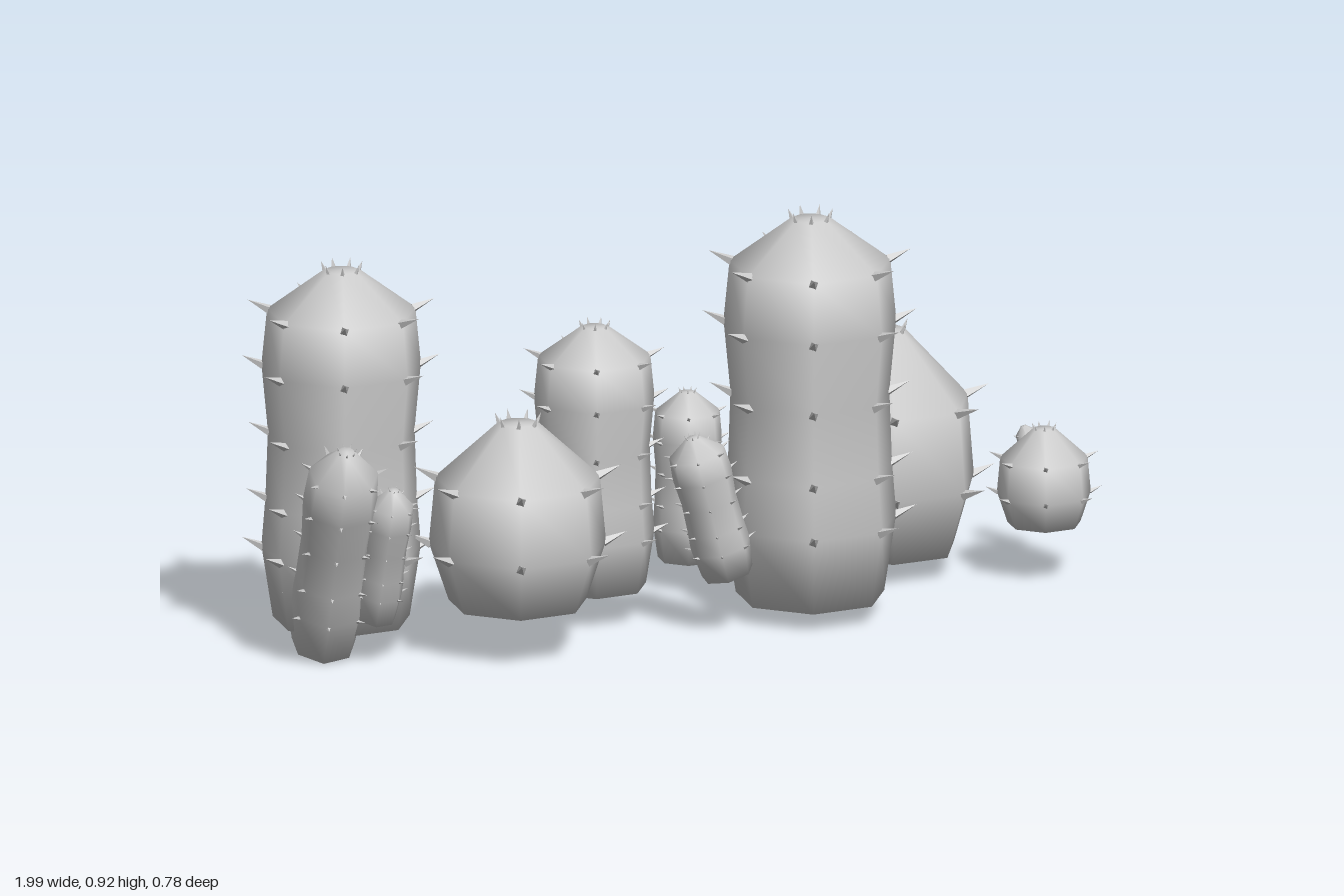
import * as THREE from 'three';
import { mergeGeometries } from 'three/addons/utils/BufferGeometryUtils.js';

const SIDES = 7;
const UP = new THREE.Vector3(0, 1, 0);

// Profiles: [height fraction, radius fraction], from base rim to crown rim
const COLUMN = [[0, 0.86], [0.2, 1], [0.34, 0.95], [0.53, 0.92], [0.72, 1], [0.88, 0.93], [1, 0.22]];
const BALL = [[0, 0.78], [0.31, 1], [0.68, 0.93], [1, 0.22]];

// Closed seven-sided body
function bodyGeometry(profile, r, h) {
  const pts = profile.map(([t, k]) => new THREE.Vector2(k * r, t * h));
  return new THREE.LatheGeometry([new THREE.Vector2(0, 0), ...pts, new THREE.Vector2(0, h)], SIDES);
}

// One thorn at every corner of every ring above the base, short upright ones on the crown
function spineGeometry(profile, r, h) {
  const cones = [];
  for (const [t, k] of profile.slice(1)) {
    const crown = t === 1;
    const len = r * (crown ? 0.12 : 0.29);
    for (let i = 0; i < SIDES; i++) {
      const a = (i / SIDES) * Math.PI * 2;
      const out = new THREE.Vector3(Math.sin(a), 0, Math.cos(a));
      const dir = out.clone().setY(crown ? 2.5 : 0.4).normalize();
      const cone = new THREE.ConeGeometry(r * (crown ? 0.03 : 0.06), len, 4);
      cone.translate(0, len * 0.4, 0);
      cone.applyQuaternion(new THREE.Quaternion().setFromUnitVectors(UP, dir));
      cone.translate(out.x * k * r, t * h, out.z * k * r);
      cones.push(cone);
    }
  }
  return mergeGeometries(cones);
}

// A cactus standing on the point base, its axis running to the point top
function makeCactus({ name, profile, r, base, top, depth = 1 }) {
  const from = new THREE.Vector3(...base);
  const axis = new THREE.Vector3(...top).sub(from);
  const h = axis.length();
  const body = new THREE.Mesh(bodyGeometry(profile, r, h),
    new THREE.MeshStandardMaterial({ color: 0xcccccc }));
  body.name = name + 'Body';
  const spines = new THREE.Mesh(spineGeometry(profile, r, h),
    new THREE.MeshStandardMaterial({ color: 0xcccccc, flatShading: true }));
  spines.name = name + 'Spines';

  // Turn a corner of the heptagon to the back, then lean the whole plant
  const turned = new THREE.Group();
  turned.name = name + 'Turn';
  turned.rotation.y = Math.PI - 0.06;
  turned.add(body, spines);
  const cactus = new THREE.Group();
  cactus.name = name;
  cactus.position.copy(from);
  cactus.quaternion.setFromUnitVectors(UP, axis.normalize());
  cactus.scale.z = depth;
  cactus.add(turned);
  return cactus;
}

// Upright plants: name, profile, radius, x, z, bottom, top, depth scale
const UPRIGHT = [
  ['tallColumnRight', COLUMN, 0.18, -0.755, -0.115, 0.07, 0.865],
  ['tallColumnLeft', COLUMN, 0.195, 0.278, 0.17, 0.047, 0.905],
  ['middleColumn', COLUMN, 0.136, -0.15, -0.04, 0.08, 0.67],
  ['thinColumn', COLUMN, 0.078, 0.165, -0.165, 0.07, 0.45],
  ['bigBallRight', BALL, 0.2, -0.447, 0.125, 0.12, 0.53],
  ['bigBallLeft', BALL, 0.198, 0.625, -0.09, 0.055, 0.547, 1.2],
  ['smallBallRight', BALL, 0.1, -0.335, -0.17, 0.13, 0.345],
  ['smallBallLeft', BALL, 0.106, 0.873, 0.18, 0.13, 0.347],
];

// Leaning shoots: name, radius, base point, top point
const LEANING = [
  ['largeShoot', 0.084, [-0.83, 0.036, -0.07], [-0.9, 0.53, 0.145]],
  ['slimShoot', 0.052, [-0.755, 0.11, 0.03], [-0.775, 0.425, 0.14]],
  ['middleShoot', 0.068, [0.04, 0.14, 0.21], [-0.05, 0.46, 0.21]],
  ['tinyShootLeft', 0.026, [0.963, 0.17, 0.037], [0.925, 0.305, 0.005]],
  ['tinyShootRight', 0.026, [-0.53, 0.17, -0.262], [-0.572, 0.305, -0.293]],
];

export function createModel() {
  const model = new THREE.Group();
  model.name = 'cactusCluster';
  for (const [name, profile, r, x, z, y0, y1, depth] of UPRIGHT) {
    model.add(makeCactus({ name, profile, r, base: [x, y0, z], top: [x, y1, z], depth }));
  }
  for (const [name, r, base, top] of LEANING) {
    model.add(makeCactus({ name, profile: COLUMN, r, base, top }));
  }
  return model;
}
